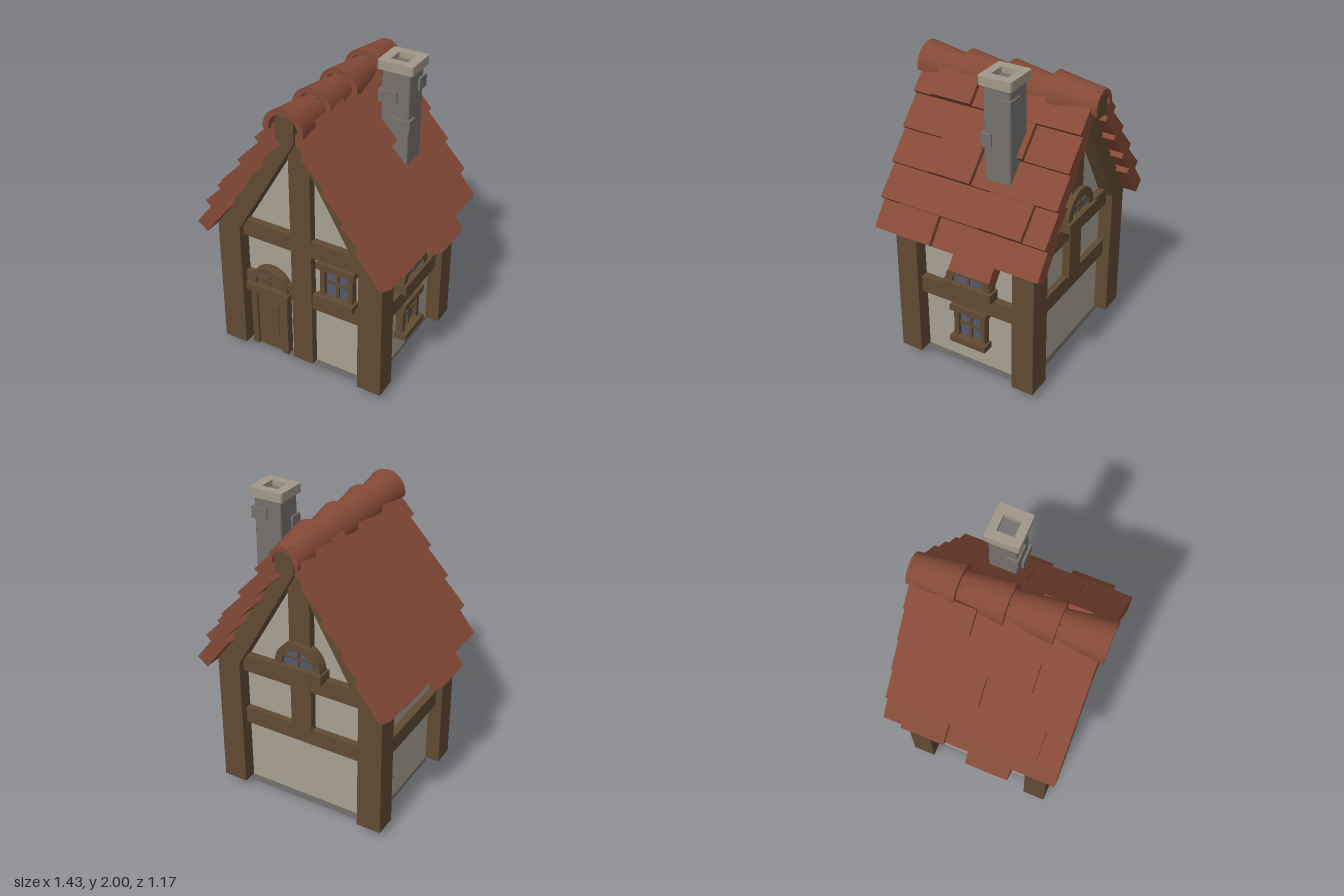
import * as THREE from 'three';
import { toCreasedNormals } from 'three/addons/utils/BufferGeometryUtils.js';
import { RoundedBoxGeometry } from 'three/addons/geometries/RoundedBoxGeometry.js';

const mat = (name, color) => {
  const m = new THREE.MeshStandardMaterial({ color });
  m.name = name;
  return m;
};

export function createModel() {
  const wood = mat('timber', 0x5f4a33);
  const plaster = mat('plaster', 0xa79f91);
  const roofRed = mat('roof tile', 0x844936);
  const stone = mat('stone', 0x74706d);
  const paleStone = mat('pale stone', 0xa09889);
  const glass = mat('window glass', 0x505a70);

  const house = new THREE.Group();
  house.name = 'cottage';

  const add = (parent, name, geo, material, x = 0, y = 0, z = 0) => {
    const m = new THREE.Mesh(geo, material);
    m.name = name;
    m.position.set(x, y, z);
    parent.add(m);
    return m;
  };
  // Box given by its two extreme corners
  const box = (parent, name, material, [x0, y0, z0], [x1, y1, z1]) =>
    add(parent, name, new THREE.BoxGeometry(x1 - x0, y1 - y0, z1 - z0), material,
      (x0 + x1) / 2, (y0 + y1) / 2, (z0 + z1) / 2);
  const group = (name, parent = house) => {
    const g = new THREE.Group();
    g.name = name;
    parent.add(g);
    return g;
  };
  const poly = pts => new THREE.Shape(pts.map(p => new THREE.Vector2(...p)));
  const extrude = (shape, z0, z1) =>
    new THREE.ExtrudeGeometry(shape, { depth: z1 - z0, bevelEnabled: false, curveSegments: 16 })
      .translate(0, 0, z0);

  // Foundation and gabled plaster walls
  box(house, 'foundation', stone, [-0.46, 0, -0.38], [0.46, 0.065, 0.38]);
  add(house, 'walls', extrude(
    poly([[-0.475, 0.06], [0.475, 0.06], [0.475, 1.07], [0, 1.74], [-0.475, 1.07]]), -0.39, 0.39), plaster);

  // Corner posts running on into the gable rafters
  const frameR = [[0.41, 0.06], [0.57, 0.06], [0.565, 0.96], [0, 1.8], [0, 1.66], [0.41, 0.95]];
  const frameL = frameR.map(([x, y]) => [-x, y]);
  for (const z of [-0.478, 0.333]) {
    for (const pts of [frameR, frameL])
      add(house, 'cornerPostAndRafter', extrude(poly(pts), z, z + 0.145), wood);
  }

  // Beams on the gable ends
  for (const s of [-1, 1]) {
    for (const [name, x, y0, y1, d] of [
      ['gableBeam', 0.42, 0.885, 1.0, 0.436],
      ['middleBeam', 0.42, 0.5, 0.61, 0.43],
      ['centrePost', 0.07, s > 0 ? 0.06 : 0.6, 1.66, 0.44]]) {
      const [a, b] = [s * 0.35, s * d].sort((p, q) => p - q);
      box(house, name, wood, [-x, y0, a], [x, y1, b]);
    }
    // Beams along the side walls
    const xs = [s * 0.43, s * 0.525].sort((a, b) => a - b);
    box(house, 'sideBeam', wood, [xs[0], 0.5, -0.34], [xs[1], 0.61, 0.34]);
  }

  // Half-round window on a sill; the sill bottom is at local y = 0, the wall near z = 0
  const archWindow = (name, r, sillWidth, sillH) => {
    const g = group(name);
    const w = sillWidth / 2;
    box(g, 'archSill', wood, [-w, 0, -0.02], [w, sillH, 0.09]);
    const ri = r * 0.69;
    const ring = new THREE.Shape();
    ring.absarc(0, 0, r, 0, Math.PI, false);
    ring.absarc(0, 0, ri, Math.PI, 0, true);
    add(g, 'archFrame', toCreasedNormals(extrude(ring, 0, 0.07), 0.6), wood, 0, sillH);
    add(g, 'archPane', new THREE.CircleGeometry(ri, 20, 0, Math.PI), glass, 0, sillH, 0.05);
    box(g, 'archBar', wood, [-0.008, sillH, 0.042], [0.008, sillH + ri, 0.06]);
    box(g, 'archBar', wood, [-ri * 0.9, sillH + ri * 0.42, 0.042], [ri * 0.9, sillH + ri * 0.42 + 0.014, 0.06]);
    return g;
  };
  // Four-paned window; origin at sill bottom
  const squareWindow = (name, h) => {
    const g = group(name);
    const t = 0.042;
    box(g, 'windowSill', wood, [-0.127, 0, -0.02], [0.127, t, 0.08]);
    box(g, 'windowLintel', wood, [-0.127, h - t, -0.02], [0.127, h, 0.07]);
    for (const s of [-1, 1])
      box(g, 'windowJamb', wood, [s * 0.094 - 0.016, t, 0], [s * 0.094 + 0.016, h - t, 0.05]);
    add(g, 'windowPane', new THREE.PlaneGeometry(0.16, h - 2 * t), glass, 0, h / 2, 0.024);
    box(g, 'windowBar', wood, [-0.01, t, 0.015], [0.01, h - t, 0.036]);
    box(g, 'windowBar', wood, [-0.08, h / 2 - 0.01, 0.015], [0.08, h / 2 + 0.01, 0.036]);
    return g;
  };

  squareWindow('frontWindow', 0.277).position.set(0.24, 0.605, 0.388);
  const sideArch = archWindow('sideArchWindow', 0.155, 0.34, 0.062);
  sideArch.position.set(0.472, 0.61, -0.01);
  const sideSquare = squareWindow('sideWindow', 0.272);
  sideSquare.position.set(0.474, 0.22, -0.005);
  sideArch.rotation.y = sideSquare.rotation.y = Math.PI / 2;
  const backArch = archWindow('backArchWindow', 0.155, 0.34, 0.062);
  backArch.position.set(0, 0.99, -0.4);
  backArch.rotation.y = Math.PI;

  // Front door with fanlight
  archWindow('doorFanlight', 0.138, 0.305, 0.05).position.set(-0.238, 0.5, 0.38);
  const door = group('door');
  door.position.set(-0.242, 0.06, 0.375);
  box(door, 'doorLeaf', wood, [-0.1, 0, 0], [0.1, 0.44, 0.052]);
  for (const s of [-1, 1])
    box(door, 'doorJamb', wood, [s * 0.112 - 0.021, 0, 0], [s * 0.112 + 0.021, 0.44, 0.07]);
  box(door, 'doorPanel', wood, [-0.058, 0.09, 0.05], [0.058, 0.36, 0.058]);

  // Tile rows: lower edge x, y, pitch, length, and the z span of the raised tile
  const rows = [
    [0.66, 0.968, 52, 0.27, 0.15, 0.43],
    [0.585, 1.14, 46, 0.27, -0.41, -0.13],
    [0.46, 1.32, 46, 0.27, 0, 0.285],
    [0.335, 1.495, 46, 0.27, -0.27, 0],
    [0.21, 1.675, 46, 0.17, 0.15, 0.43],
  ];
  for (const side of [0, 1]) {
    const slope = group(side ? 'roofSlopeRight' : 'roofSlopeLeft');
    slope.rotation.y = side * Math.PI;
    rows.forEach(([x, y, deg, length, z0, z1], i) => {
      const a = THREE.MathUtils.degToRad(deg), c = Math.cos(a), s = Math.sin(a);
      const tile = (from, to, lift = 0, drop = 0) => {
        const len = length + drop;
        const geo = new THREE.BoxGeometry(len, 0.085, to - from).translate(-len / 2, -0.0425, 0);
        const m = add(slope, 'roofTile', geo, roofRed,
          x + s * lift + c * drop, y + c * lift - s * drop, (from + to) / 2);
        m.rotation.z = -a;
      };
      tile(z0, z1, 0.03);
      tile(z1, 0.557);
      if (i === 0) {
        tile(0, z0);
        tile(-0.275, 0, 0, 0.092);
        tile(-0.553, -0.275);
      } else tile(-0.553, z0);
    });
  }

  // Ridge beam with chamfered corners
  add(house, 'ridgeBeam', extrude(poly([[-0.058, 1.72], [-0.04, 1.7], [0.04, 1.7], [0.058, 1.72],
    [0.058, 1.84], [0.04, 1.866], [-0.04, 1.866], [-0.058, 1.84]]), -0.572, 0.572), wood);

  // Tapered half-round ridge tiles, tipped down at the narrow end
  const capShape = new THREE.Shape();
  capShape.absarc(0, 0, 0.128, -0.12, Math.PI + 0.12, false);
  capShape.absarc(0, 0, 0.094, Math.PI + 0.12, -0.12, true);
  for (let i = 0; i < 4; i++) {
    const geo = extrude(capShape, -0.3, 0);
    const p = geo.attributes.position;
    for (let k = 0; k < p.count; k++)
      if (p.getZ(k) < -0.1) p.setXY(k, p.getX(k) * 0.74, p.getY(k) * 0.82 - 0.02);
    add(house, 'ridgeTile', toCreasedNormals(geo, 0.6), roofRed, 0, 1.785, 0.583 - i * 0.289);
  }

  // Chimney with corner stones and a hollow cap
  const chimney = group('chimney');
  add(chimney, 'chimneyStack', new RoundedBoxGeometry(0.18, 0.61, 0.172, 1, 0.012), stone, 0.33, 1.66, -0.15);
  for (const [x0, x1, y, z0, z1] of [
    [0.33, 0.434, 1.81, -0.246, -0.165],
    [0.312, 0.434, 1.585, -0.12, -0.05],
    [0.228, 0.345, 1.745, -0.13, -0.052]])
    box(chimney, 'cornerStone', stone, [x0, y, z0], [x1, y + 0.073, z1]);
  const cap = poly([[-0.111, -0.096], [-0.103, -0.104], [0.103, -0.104], [0.111, -0.096],
    [0.111, 0.096], [0.103, 0.104], [-0.103, 0.104], [-0.111, 0.096]]);
  cap.holes.push(poly([[-0.053, -0.052], [-0.053, 0.052], [0.053, 0.052], [0.053, -0.052]]));
  add(chimney, 'chimneyCap', extrude(cap, 0, 0.056).rotateX(-Math.PI / 2), paleStone, 0.332, 1.944, -0.148);

  return house;
}
